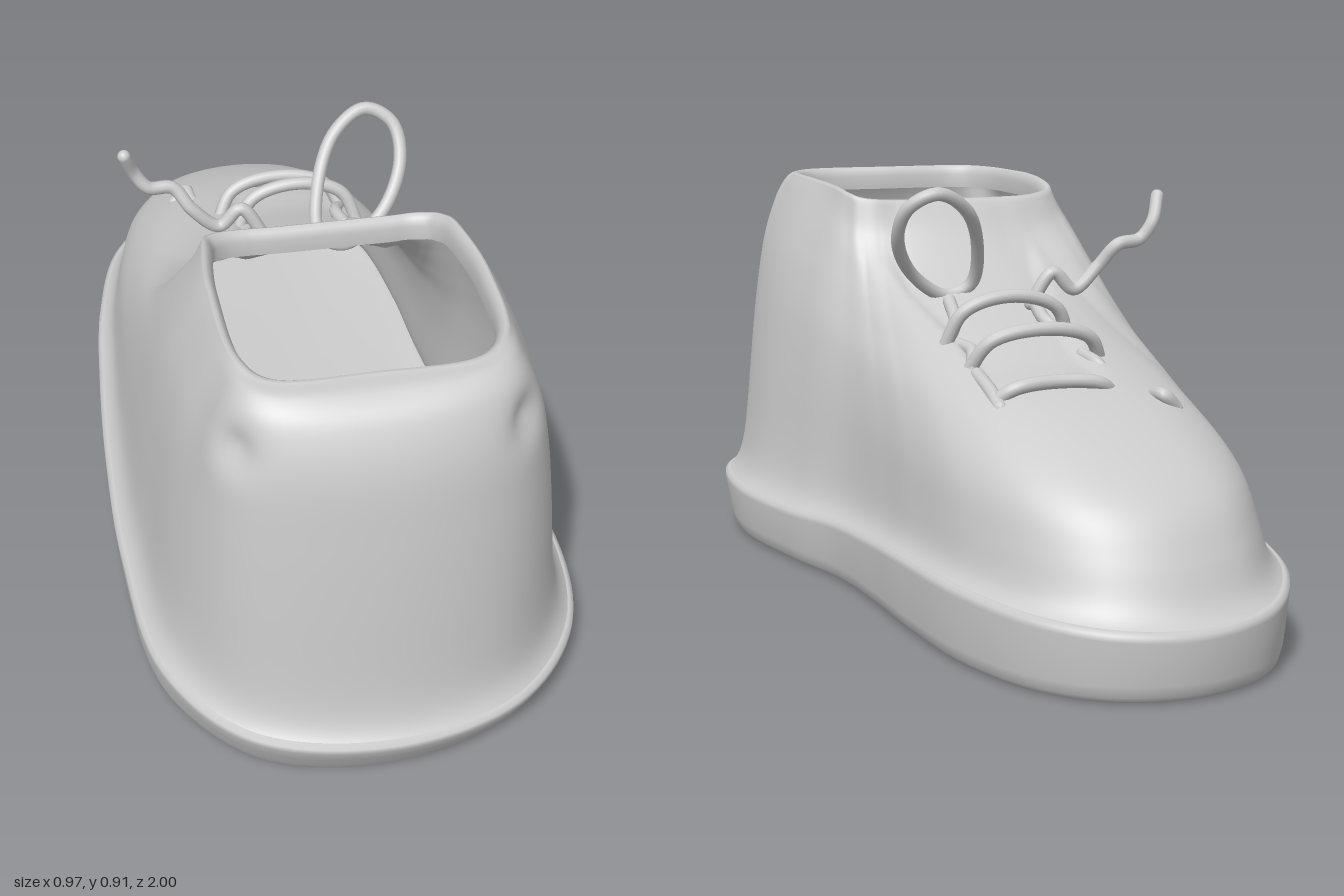
import * as THREE from 'three';

const V = (x, y, z) => new THREE.Vector3(x, y, z);
const ss = THREE.MathUtils.smoothstep;
const grey = new THREE.MeshStandardMaterial({ color: 0xcccccc, side: THREE.DoubleSide });
const N = 180; // points around the shoe

// Around the shoe from the toe: sole edge x, z, sole height, rim x, z, toe weight
const KEYS = [
  [-0.08, -1.0, 0.145, 0.02, 0.2, 1], [0.085, -0.968, 0.15, 0.07, 0.2, 1],
  [0.21, -0.858, 0.16, 0.11, 0.2, 1], [0.295, -0.66, 0.17, 0.15, 0.2, 1],
  [0.332, -0.4, 0.17, 0.19, 0.2, 0.95], [0.345, -0.2, 0.16, 0.225, 0.21, 0.85],
  [0.37, 0, 0.15, 0.25, 0.235, 0.6], [0.43, 0.2, 0.14, 0.27, 0.31, 0.2],
  [0.485, 0.48, 0.14, 0.285, 0.48, 0], [0.443, 0.745, 0.138, 0.27, 0.68, 0],
  [0.28, 0.93, 0.133, 0.21, 0.755, 0], [0, 1.0, 0.13, 0, 0.768, 0],
  [-0.28, 0.935, 0.137, -0.21, 0.755, 0], [-0.433, 0.735, 0.15, -0.257, 0.68, 0],
  [-0.482, 0.4, 0.165, -0.275, 0.45, 0], [-0.487, 0.1, 0.175, -0.265, 0.29, 0.25],
  [-0.475, -0.2, 0.18, -0.24, 0.22, 0.7], [-0.447, -0.5, 0.18, -0.17, 0.2, 0.95],
  [-0.378, -0.775, 0.17, -0.1, 0.2, 1], [-0.25, -0.943, 0.155, -0.04, 0.2, 1],
];
const edge = new THREE.CatmullRomCurve3(KEYS.map(k => V(k[0], k[2], k[1])), true);
const rim = new THREE.CatmullRomCurve3(KEYS.map(k => V(k[3], k[5], k[4])), true);

// Profiles from sole to rim: share of the way inward, height
const profile = p => new THREE.CatmullRomCurve3(p.map(([s, y]) => V(s, y, 0)));
const side = profile([[0, 0.13], [0.12, 0.28], [0.23, 0.45], [0.35, 0.6], [0.48, 0.7], [0.64, 0.775], [0.88, 0.86], [1, 0.893]]);
const heel = profile([[0, 0.13], [0.06, 0.28], [0.12, 0.45], [0.19, 0.6], [0.29, 0.74], [0.5, 0.84], [0.76, 0.885], [1, 0.893]]);
const toe = profile([[0, 0.13], [0.04, 0.25], [0.1, 0.35], [0.28, 0.465], [0.57, 0.575], [0.83, 0.69], [0.95, 0.77], [1, 0.855]]);

// Sole outline moved inward by a distance
function inset(u, d) {
  const p = edge.getPoint(u), t = edge.getTangent(u);
  const l = Math.hypot(t.x, t.z);
  return V(p.x - (t.z / l) * d, p.y, p.z + (t.x / l) * d);
}

// Skin over closed rings, each given as a function of u
function skin(name, rings) {
  const pos = [], idx = [];
  rings.forEach((ring, j) => {
    for (let i = 0; i < N; i++) {
      pos.push(...ring(i / N).toArray());
      if (j === rings.length - 1) continue;
      const a = j * N + i, b = j * N + (i + 1) % N;
      idx.push(a, a + N, b, b, a + N, b + N);
    }
  });
  const g = new THREE.BufferGeometry();
  g.setAttribute('position', new THREE.Float32BufferAttribute(pos, 3));
  g.setIndex(idx);
  g.computeVertexNormals();
  const mesh = new THREE.Mesh(g, grey);
  mesh.name = name;
  return mesh;
}

// Sole with an undercut heel, closed on top as the insole
function makeSole() {
  const ring = (d, y, under = 0) => u => {
    const p = inset(u, d + under * (0.012 + 0.035 * ss(edge.getPoint(u).z, 0.5, 1)));
    p.y = y(p.y);
    return p;
  };
  return skin('sole', [
    () => V(0, 0.012, 0),
    ring(0.07, () => 0.01, 1), ring(0.035, () => 0.007, 1), ring(0.015, () => 0.01, 1),
    ring(0.004, () => 0.022, 1), ring(0, () => 0.045, 0.85), ring(0, s => s * 0.6, 0.4),
    ring(0, s => s - 0.015), ring(0.001, s => s - 0.003), ring(0.01, s => s + 0.004),
    ring(0.03, s => s + 0.004), ring(0.09, () => 0.13), () => V(0, 0.13, 0),
  ]);
}

// Upper point, flared at the sole, with the sunken tongue and the heel puckers
function upperPoint(u, t) {
  const p = inset(u, 0.04 - 0.03 * (1 - t) ** 32), r = rim.getPoint(u);
  const w = THREE.MathUtils.clamp(r.y, 0, 1);
  const q = side.getPoint(t).lerp(heel.getPoint(t), ss(p.z, 0.65, 0.88)).lerp(toe.getPoint(t), w);
  const out = V(p.x + (r.x - p.x) * q.x, q.y + (p.y - 0.13) * (1 - t) ** 3, p.z + (r.z - p.z) * q.x);
  const half = 0.14 + 0.06 * ss(out.z, -0.3, 0.2);
  const along = ss(out.z, -0.48, -0.3) * (1 - ss(out.z, 0.06, 0.17));
  out.y -= 0.02 * along * (1 - ss(Math.abs(out.x - 0.01), half - 0.04, half));
  const dx = Math.abs(out.x) - 0.28, dy = out.y - 0.78, dz = out.z - 0.81;
  const dent = 0.016 * Math.exp(-(dx * dx + dy * dy + dz * dz) / 0.002);
  out.x -= Math.sign(out.x) * dent;
  out.z -= dent;
  return out;
}

// Upper with a thin lip folded into the opening
function makeUpper() {
  const rings = [];
  for (let j = 0; j <= 60; j++) rings.push(u => upperPoint(u, (j / 60) ** 1.25));
  for (const [d, dy] of [[0.02, 0.002], [0.05, -0.005], [0.075, -0.022], [0.07, -0.055]]) {
    rings.push(u => {
      const p = upperPoint(u, 1);
      return V(p.x * (1 - d), p.y + dy, 0.48 + (p.z - 0.48) * (1 - d));
    });
  }
  return skin('upper', rings);
}

// Round lace along a smooth path
function lace(name, pts, closed = false) {
  const curve = new THREE.CatmullRomCurve3(pts.map(p => V(...p)), closed);
  const r = 0.015, group = new THREE.Group();
  group.name = name;
  group.add(new THREE.Mesh(new THREE.TubeGeometry(curve, pts.length * 10, r, 10, closed), grey));
  if (!closed) {
    for (const p of [pts[0], pts[pts.length - 1]]) {
      const tip = new THREE.Mesh(new THREE.SphereGeometry(r, 10, 8), grey);
      tip.position.set(...p);
      group.add(tip);
    }
  }
  return group;
}

export function createModel() {
  const shoe = new THREE.Group();
  shoe.name = 'shoe';
  shoe.add(makeSole(), makeUpper());

  // Crossing laces: left x, right x, end z, middle z, end height, crown height
  const rows = [
    [-0.12, 0.14, -0.465, -0.48, 0.5, 0.535],
    [-0.16, 0.15, -0.31, -0.355, 0.53, 0.625],
    [-0.13, 0.165, -0.195, -0.228, 0.56, 0.68],
  ];
  rows.forEach(([l, r, z, zm, y, c]) => {
    const m = (l + r) / 2, q = (r - l) * 0.36;
    shoe.add(lace('crossLace', [
      [l, y, z], [m - q, y + (c - y) * 0.75, (z + zm) / 2 - 0.01], [m, c, zm],
      [m + q, y + (c - y) * 0.75, (z + zm) / 2 - 0.01], [r, y, z],
    ]));
  });

  // Short runs between the eyelets, half sunk in the upper
  const runs = [
    [[0.14, 0.49, -0.49], [0.14, 0.515, -0.43], [0.14, 0.535, -0.35]],
    [[0.14, 0.545, -0.32], [0.12, 0.57, -0.26], [0.13, 0.575, -0.2]],
    [[0.15, 0.58, -0.19], [0.11, 0.615, -0.12], [0.1, 0.65, -0.05]],
    [[-0.15, 0.51, -0.39], [-0.13, 0.545, -0.35], [-0.12, 0.555, -0.3]],
    [[-0.13, 0.57, -0.21], [-0.09, 0.61, -0.16], [-0.09, 0.635, -0.1]],
    [[-0.24, 0.47, -0.52], [-0.21, 0.5, -0.525], [-0.2, 0.495, -0.48], [-0.17, 0.48, -0.45]],
  ];
  runs.forEach(p => shoe.add(lace('eyeletLace', p)));

  // Bow loop and loose end
  shoe.add(lace('bowLoop', [
    [0.09, 0.655, 0], [0.18, 0.71, -0.03], [0.235, 0.8, -0.1], [0.225, 0.87, -0.15],
    [0.165, 0.9, -0.17], [0.09, 0.86, -0.14], [0.04, 0.77, -0.07], [0.035, 0.68, -0.01],
  ], true));
  shoe.add(lace('looseEnd', [
    [-0.08, 0.64, -0.09], [-0.13, 0.71, -0.1], [-0.18, 0.67, -0.1], [-0.24, 0.72, -0.1],
    [-0.28, 0.77, -0.12], [-0.335, 0.78, -0.115], [-0.365, 0.82, -0.12], [-0.385, 0.875, -0.1],
  ]));
  return shoe;
}
